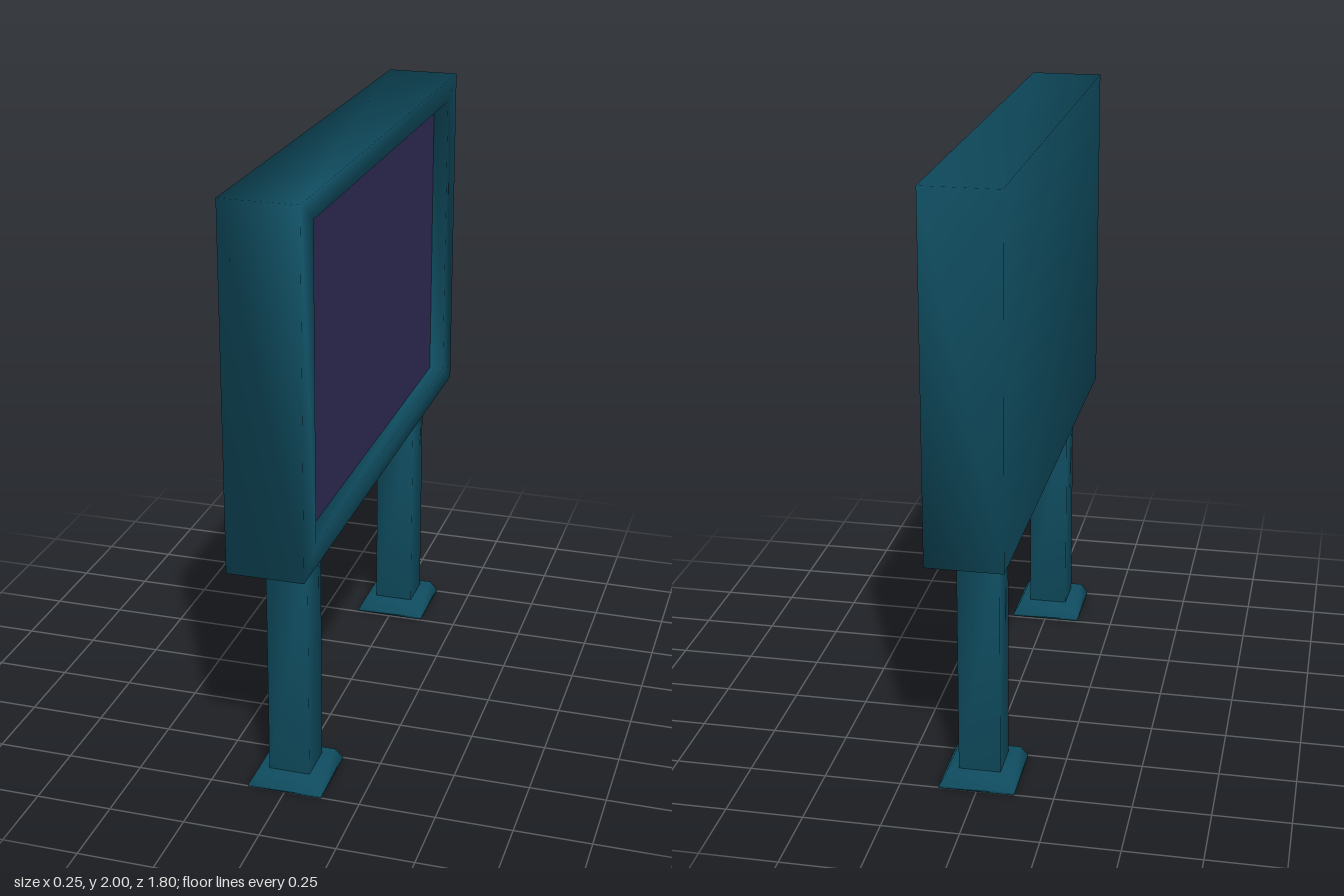
import * as THREE from 'three';

const teal = new THREE.MeshStandardMaterial({ color: 0x0f4c5f });
const violet = new THREE.MeshStandardMaterial({ color: 0x2f2b55 });

// Four corners, counter-clockwise about the +x or +y axis.
// x axis: (u, v) = (y, z); y axis: (u, v) = (z, x).
function rectLoop(axis, at, cu, hu, hv) {
  return [[1, 1], [-1, 1], [-1, -1], [1, -1]].map(([a, b]) => {
    const u = cu + a * hu, v = b * hv;
    return axis === 'x' ? [at, u, v] : [v, at, u];
  });
}

// Skin a row of rectangles with shared vertices, so normals run smoothly over the edges.
function skin(name, loops, capEnd) {
  const index = [2, 1, 0, 3, 2, 0];
  for (let l = 0; l < loops.length - 1; l++) {
    for (let i = 0; i < 4; i++) {
      const a = l * 4 + i, b = l * 4 + (i + 1) % 4;
      index.push(a, b, b + 4, a, b + 4, a + 4);
    }
  }
  const e = (loops.length - 1) * 4;
  if (capEnd) index.push(e, e + 1, e + 2, e, e + 2, e + 3);
  const geometry = new THREE.BufferGeometry();
  geometry.setAttribute('position', new THREE.Float32BufferAttribute(loops.flat(2), 3));
  geometry.setIndex(index);
  geometry.computeVertexNormals();
  const mesh = new THREE.Mesh(geometry, teal);
  mesh.name = name;
  return mesh;
}

export function createModel() {
  const model = new THREE.Group();
  model.name = 'billboard';

  // Cabinet: closed back, rim around a recessed opening on the +x side
  const midY = 1.42, halfX = 0.123, recessX = 0.073;
  model.add(skin('cabinet', [
    rectLoop('x', -halfX, midY, 0.58, 0.9),
    rectLoop('x', halfX, midY, 0.58, 0.9),
    rectLoop('x', halfX, midY, 0.505, 0.78),
    rectLoop('x', recessX, midY, 0.505, 0.78),
  ], false));

  // Display panel at the bottom of the recess
  const screen = new THREE.Mesh(new THREE.PlaneGeometry(1.56, 1.01), violet);
  screen.name = 'screen';
  screen.rotation.y = Math.PI / 2;
  screen.position.set(recessX, midY, 0);
  model.add(screen);

  // Two square posts on tapered feet
  for (const z of [0.63, -0.63]) {
    const leg = new THREE.Group();
    leg.name = z > 0 ? 'frontLeg' : 'backLeg';
    leg.add(skin('post', [
      rectLoop('y', 0.04, z, 0.068, 0.068),
      rectLoop('y', 0.84, z, 0.068, 0.068),
    ], true));
    leg.add(skin('foot', [
      rectLoop('y', 0, z, 0.123, 0.123),
      rectLoop('y', 0.008, z, 0.122, 0.122),
      rectLoop('y', 0.047, z, 0.101, 0.101),
    ], true));
    model.add(leg);
  }
  return model;
}
